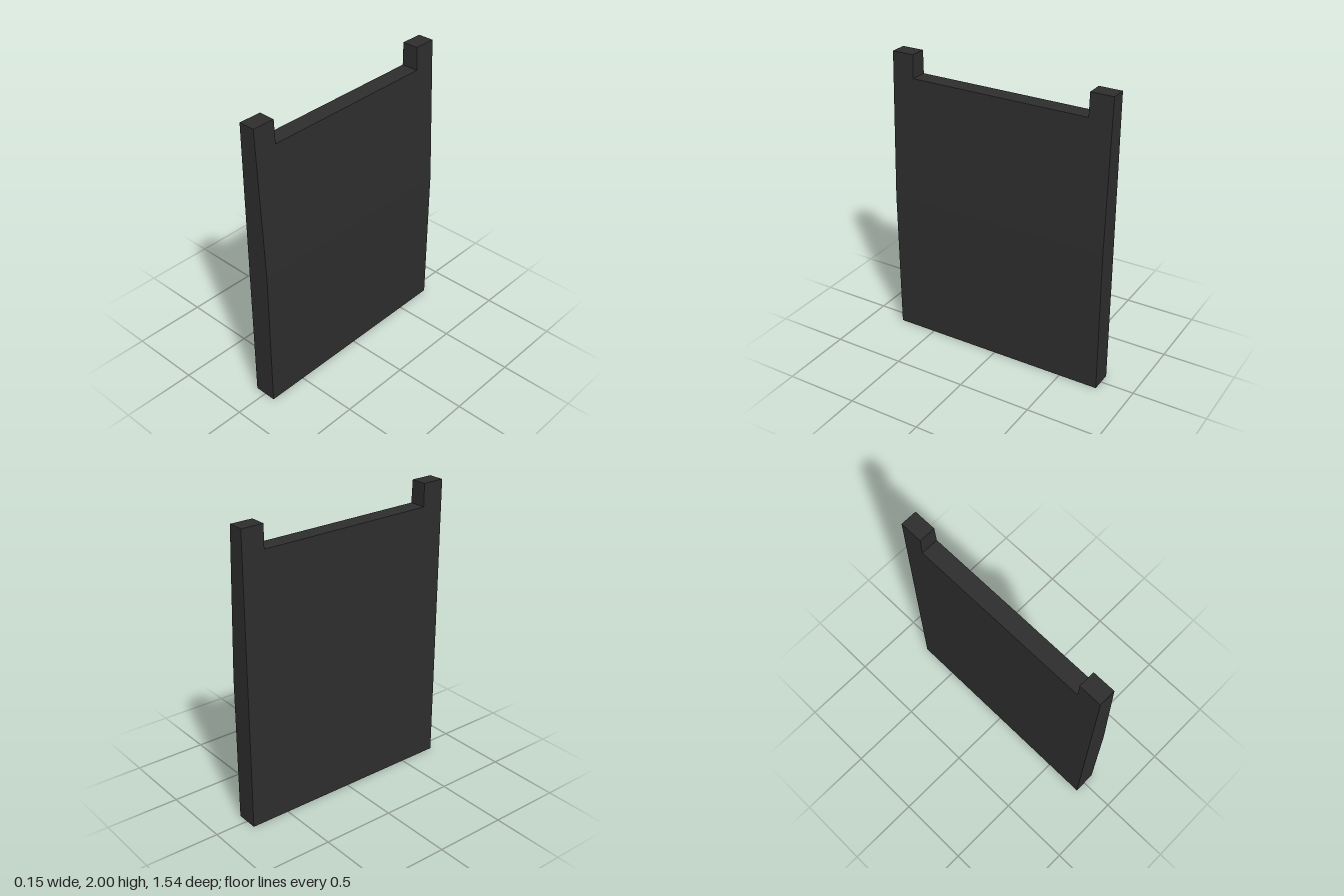
import * as THREE from 'three';

const HALF = 0.077;      // half thickness
const BEND = 1.0;        // height where the +x face starts to lean in
const TOP = 2.0;
const TOP_X = 0.033;     // +x edge at full height

// Slab with a vertical -x face and a +x face that tapers above BEND
function taperedSlab(name, height, z0, z1, material) {
  const t = (height - BEND) / (TOP - BEND);
  const shape = new THREE.Shape([
    new THREE.Vector2(-HALF, 0),
    new THREE.Vector2(HALF, 0),
    new THREE.Vector2(HALF, BEND),
    new THREE.Vector2(HALF + (TOP_X - HALF) * t, height),
    new THREE.Vector2(-HALF, height),
  ]);
  const geometry = new THREE.ExtrudeGeometry(shape, { depth: z1 - z0, bevelEnabled: false });
  geometry.translate(0, 0, z0);
  const mesh = new THREE.Mesh(geometry, material);
  mesh.name = name;
  return mesh;
}

export function createModel() {
  const group = new THREE.Group();
  group.name = 'panelWithPosts';
  const dark = new THREE.MeshStandardMaterial({ color: 0x2d2d2d });

  // Lower panel between two taller end posts
  group.add(
    taperedSlab('panel', 1.845, -0.617, 0.617, dark),
    taperedSlab('frontPost', TOP, 0.617, 0.77, dark),
    taperedSlab('backPost', TOP, -0.77, -0.617, dark),
  );
  return group;
}
